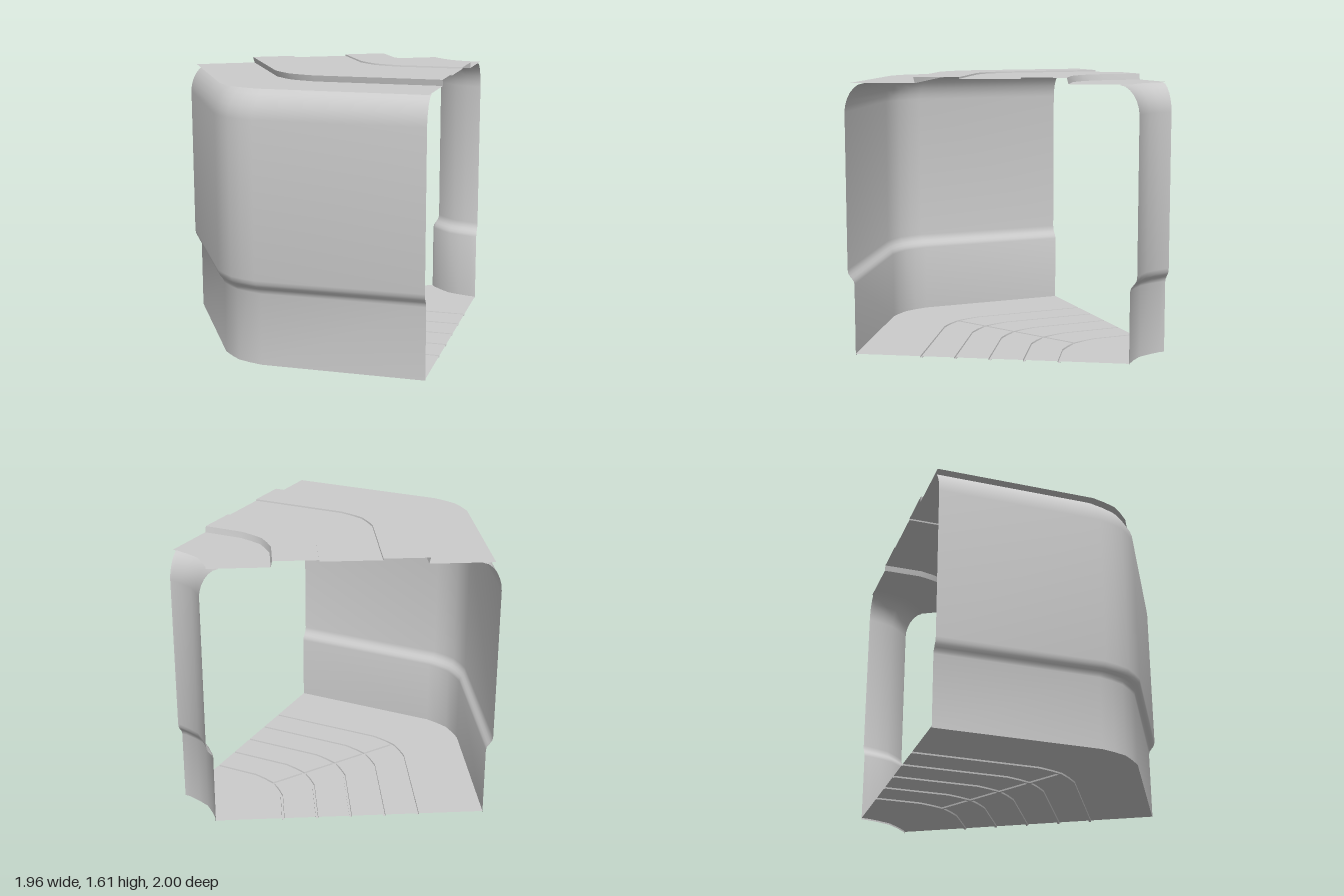
import * as THREE from 'three';
import { toCreasedNormals } from 'three/addons/utils/BufferGeometryUtils.js';

const material = new THREE.MeshStandardMaterial({ color: 0xcccccc, side: THREE.DoubleSide });

// Plan of the bend: how far +x a lengthwise line moves at distance |z| from the middle.
const bend = (z) => {
  const a = Math.abs(z);
  if (a <= 0.08) return a * 0.17;
  if (a <= 0.16) return 0.0136 + (a - 0.08) * 0.268;
  return 0.035 + (a - 0.16) * 0.577;
};

// Distance |z| at which the line starting at x0 meets the slanted end plane.
const endZ = (x0) => 0.734 - 0.578 * (x0 + 0.366) / 1.3335;

// Sweeps a profile of [x, y] points around the bend.
function sweep(name, profile, inner = [0, 0.08, 0.16], lower = () => 0) {
  const positions = [], index = [];
  const n = inner.length * 2 + 1;
  profile.forEach(([x, y]) => {
    const half = [...inner, endZ(x)];
    const stations = [...half.slice(1).reverse().map((z) => -z), ...half];
    stations.forEach((z) => positions.push(x + bend(z), y - lower(x, z), z));
  });
  for (let i = 0; i < profile.length - 1; i++) {
    for (let j = 0; j < n - 1; j++) {
      const a = i * n + j, b = a + n;
      index.push(a, a + 1, b, b, a + 1, b + 1);
    }
  }
  const geometry = new THREE.BufferGeometry();
  geometry.setAttribute('position', new THREE.Float32BufferAttribute(positions, 3));
  geometry.setIndex(index);
  const mesh = new THREE.Mesh(toCreasedNormals(geometry, 0.65), material);
  mesh.name = name;
  return mesh;
}

export function createModel() {
  const group = new THREE.Group();
  group.name = 'corridorCorner';

  // Walls: [inset, height], narrower at the foot and curling in at the top
  const wall = [
    [0.045, 0], [0.045, 0.42], [0.04, 0.437], [0.028, 0.452], [0.015, 0.466], [0.004, 0.483], [0, 0.505],
    [0, 1.41], [0.004, 1.445], [0.016, 1.482], [0.036, 1.518], [0.062, 1.546], [0.092, 1.566], [0.125, 1.574],
  ];
  group.add(sweep('outerWall', wall.map(([d, y]) => [-0.98 + d, y]).reverse()));
  group.add(sweep('innerWall', wall.map(([d, y]) => [0.937 - d, y])));

  // Ceiling: raised band with a shallow recess down its middle
  group.add(sweep('ceiling', [
    [-0.935, 1.577], [-0.51, 1.577], [-0.52, 1.612],
    [-0.221, 1.612], [-0.219, 1.603], [0.179, 1.603], [0.181, 1.612],
    [0.475, 1.612], [0.485, 1.577], [0.89, 1.577],
  ]));

  // Floor: five grooves following the bend, joined by one across the middle
  const depth = 0.009, first = -0.486, step = 0.23, last = first + 4 * step;
  const floor = [[-0.935, depth]];
  for (let i = 0; i < 5; i++) {
    const g = first + i * step;
    floor.push([g - 0.009, depth], [g - 0.007, 0], [g + 0.007, 0], [g + 0.009, depth]);
  }
  floor.push([0.89, depth]);
  const onSpine = (x, z) => Math.abs(z) < 0.0075 && x > first && x < last;
  const spineDrop = (x, z) => {
    const nearGroove = Math.abs((x - first) / step - Math.round((x - first) / step)) * step < 0.008;
    return onSpine(x, z) && !nearGroove ? depth : 0;
  };
  group.add(sweep('floor', floor, [0, 0.007, 0.009, 0.08, 0.16], spineDrop));

  return group;
}
